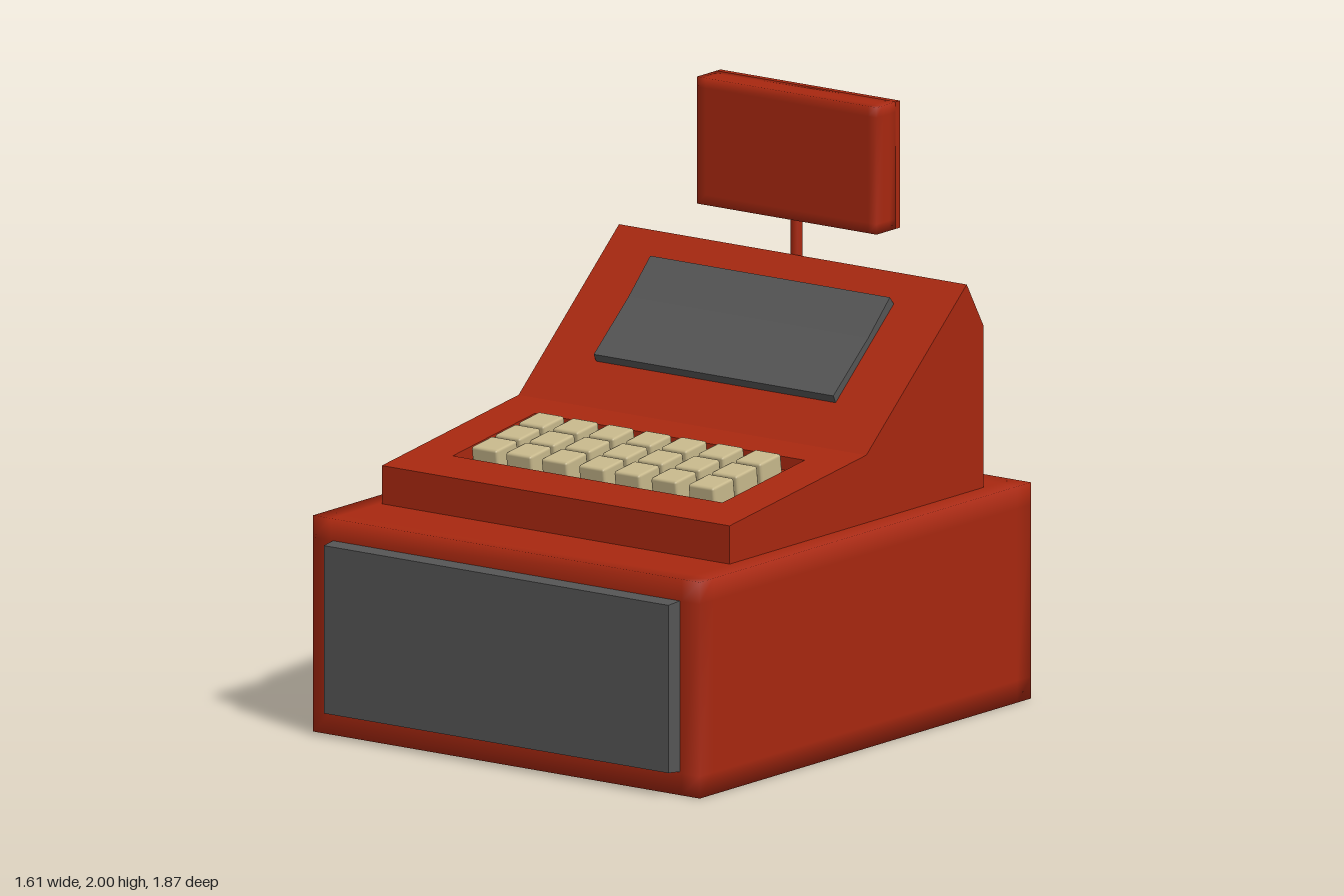
import * as THREE from 'three';
import { mergeVertices } from 'three/addons/utils/BufferGeometryUtils.js';
import { RoundedBoxGeometry } from 'three/addons/geometries/RoundedBoxGeometry.js';

const red = new THREE.MeshStandardMaterial({ color: 0xa82810 });
const grey = new THREE.MeshStandardMaterial({ color: 0x555555 });
const cream = new THREE.MeshStandardMaterial({ color: 0xc8b98c });

// Box with square corners whose shading rolls over the edges within an inset band
function softBox(w, h, d, inset) {
  const g = new THREE.BoxGeometry(w, h, d, 3, 3, 3);
  const p = g.attributes.position;
  const slide = (v, size) =>
    Math.abs(v) < size * 0.4 ? Math.sign(v) * (size / 2 - inset) : v;
  for (let i = 0; i < p.count; i++) {
    p.setXYZ(i, slide(p.getX(i), w), slide(p.getY(i), h), slide(p.getZ(i), d));
  }
  g.deleteAttribute('normal');
  g.deleteAttribute('uv');
  const merged = mergeVertices(g);
  merged.computeVertexNormals();
  return merged;
}

// Side profile given as [z, y] points, swept from x0 to x1
function sweep(profile, x0, x1) {
  const shape = new THREE.Shape(profile.map(([z, y]) => new THREE.Vector2(-z, y)));
  const g = new THREE.ExtrudeGeometry(shape, { depth: x1 - x0, bevelEnabled: false });
  return g.rotateY(Math.PI / 2).translate(x0, 0, 0);
}

export function createModel() {
  const model = new THREE.Group();
  model.name = 'cashRegister';
  const add = (name, geometry, material, x = 0, y = 0, z = 0, parent = model) => {
    const mesh = new THREE.Mesh(geometry, material);
    mesh.name = name;
    mesh.position.set(x, y, z);
    parent.add(mesh);
    return mesh;
  };

  // Base cabinet and its drawer front, which narrows slightly outward
  add('base', softBox(1.606, 0.735, 1.815, 0.075), red, 0, 0.3675, -0.0275);
  const drawer = new THREE.BoxGeometry(1.445, 0.585, 0.08);
  const dp = drawer.attributes.position;
  for (let i = 0; i < dp.count; i++) {
    if (dp.getZ(i) > 0) dp.setXY(i, dp.getX(i) * 0.99, dp.getY(i) * 0.975);
  }
  drawer.computeVertexNormals();
  add('drawer', drawer, grey, 0, 0.37, 0.897);

  // Upper body: full profile at the cheeks, key well cut from the middle
  const deckY = z => 0.865 + (0.61 - z) * 0.1333;
  const wellDepth = 0.045;
  const front = [[0.61, 0.72], [0.61, 0.865]];
  const back = [[-0.14, 0.965], [-0.69, 1.442], [-0.782, 1.285], [-0.782, 0.72]];
  const well = [
    [0.435, deckY(0.435)], [0.435, deckY(0.435) - wellDepth],
    [-0.015, deckY(-0.015) - wellDepth], [-0.015, deckY(-0.015)],
  ];
  add('bodyLeft', sweep([...front, ...back], 0.56, 0.722), red);
  add('bodyRight', sweep([...front, ...back], -0.722, -0.56), red);
  add('bodyMiddle', sweep([...front, ...well, ...back], -0.56, 0.56), red);

  // Operator screen lying on the steep slope
  add('screen', sweep(
    [[-0.285, 1.07], [-0.265, 1.11], [-0.455, 1.27], [-0.575, 1.387], [-0.605, 1.35]],
    -0.505, 0.49), grey);

  // Three rows of seven keys, tilted with the deck
  const keys = new THREE.Group();
  keys.name = 'keys';
  model.add(keys);
  const keyGeometry = new RoundedBoxGeometry(0.108, 0.08, 0.116, 1, 0.01);
  for (const z of [0.09, 0.22, 0.348]) {
    for (const x of [-0.45, -0.308, -0.16, -0.005, 0.142, 0.295, 0.45]) {
      const key = add('key', keyGeometry, cream, x, deckY(z) - 0.008, z, keys);
      key.rotation.x = Math.atan(0.1333);
    }
  }

  // Customer display: pole, housing, rear frame and recessed screen
  const display = new THREE.Group();
  display.name = 'customerDisplay';
  model.add(display);
  add('pole', new THREE.CylinderGeometry(0.02, 0.02, 0.25, 16), red, 0, 1.47, -0.71, display);
  add('displayHousing', softBox(0.745, 0.432, 0.105, 0.035), red, 0, 1.784, -0.7095, display);

  const rect = (target, w, h) => {
    target.moveTo(-w, -h).lineTo(w, -h).lineTo(w, h).lineTo(-w, h).closePath();
    return target;
  };
  const frame = rect(new THREE.Shape(), 0.3725, 0.216);
  frame.holes.push(rect(new THREE.Path(), 0.322, 0.166));
  add('displayFrame',
    new THREE.ExtrudeGeometry(frame, { depth: 0.024, bevelEnabled: false }),
    red, 0, 1.784, -0.785, display);
  add('displayScreen', new THREE.BoxGeometry(0.644, 0.332, 0.01), cream,
    0, 1.784, -0.763, display);

  return model;
}
